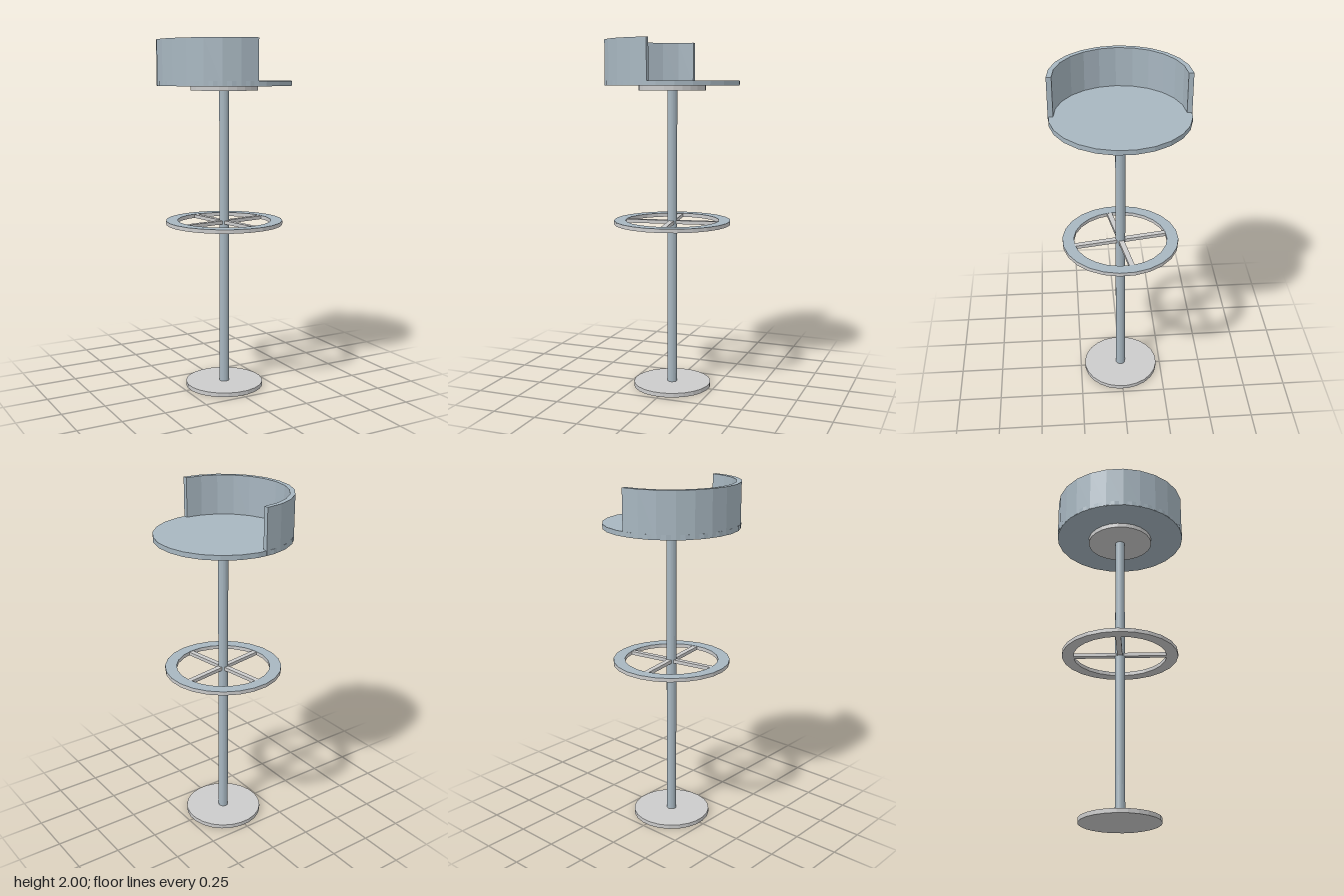
import * as THREE from 'three';

const SIDES = 24;

export function createModel() {
  const model = new THREE.Group();
  model.name = 'barStool';
  const grey = new THREE.MeshStandardMaterial({ color: 0xcccccc, flatShading: true });
  const steel = new THREE.MeshStandardMaterial({ color: 0xa7b6c0, flatShading: true });

  const add = (name, geometry, material, parent = model) => {
    const mesh = new THREE.Mesh(geometry, material);
    mesh.name = name;
    parent.add(mesh);
    return mesh;
  };

  // Upright disc or post between two heights, turned by half a facet
  const disc = (name, radius, y0, y1, material) => {
    const g = new THREE.CylinderGeometry(radius, radius, y1 - y0, SIDES);
    g.rotateY(Math.PI / SIDES);
    g.translate(0, (y0 + y1) / 2, 0);
    return add(name, g, material);
  };

  // Points on a circular arc in the shape plane
  const arc = (radius, from, to, steps) => Array.from({ length: steps + 1 }, (_, i) => {
    const a = from + (to - from) * i / steps;
    return new THREE.Vector2(radius * Math.cos(a), radius * Math.sin(a));
  });

  // Flat outline raised from y0 to y1
  const raise = (shape, y0, y1) => {
    const g = new THREE.ExtrudeGeometry(shape, { depth: y1 - y0, bevelEnabled: false });
    g.rotateX(-Math.PI / 2);
    g.translate(0, y0, 0);
    return g;
  };

  // Base, column and seat
  disc('base', 0.225, 0, 0.024, grey);
  disc('column', 0.028, 0.024, 1.722, steel);
  disc('seatMount', 0.19, 1.722, 1.748, grey);
  disc('seat', 0.38, 1.748, 1.775, steel);

  // Half-round backrest wrapping the right side
  const q = Math.PI / 2;
  const back = new THREE.Shape([...arc(0.38, q, 3 * q, 12), ...arc(0.352, 3 * q, q, 12)]);
  add('backrest', raise(back, 1.75, 2), steel);

  // Footrest ring with a steel top plate and crossed spokes
  const footrest = new THREE.Group();
  footrest.name = 'footrest';
  model.add(footrest);
  const ring = new THREE.Shape(arc(0.334, 0, 2 * Math.PI, SIDES).slice(0, -1));
  ring.holes.push(new THREE.Path(arc(0.268, 0, 2 * Math.PI, SIDES).slice(0, -1)));
  add('footRing', raise(ring, 0.963, 0.983), grey, footrest);
  add('footRingTop', raise(ring, 0.983, 0.985), steel, footrest);
  for (let i = 0; i < 4; i++) {
    const g = new THREE.BoxGeometry(0.25, 0.02, 0.03);
    g.translate(0.145, 0.973, 0);
    g.rotateY(i * q);
    add('spoke', g, grey, footrest);
  }
  footrest.rotation.y = THREE.MathUtils.degToRad(10);

  return model;
}
